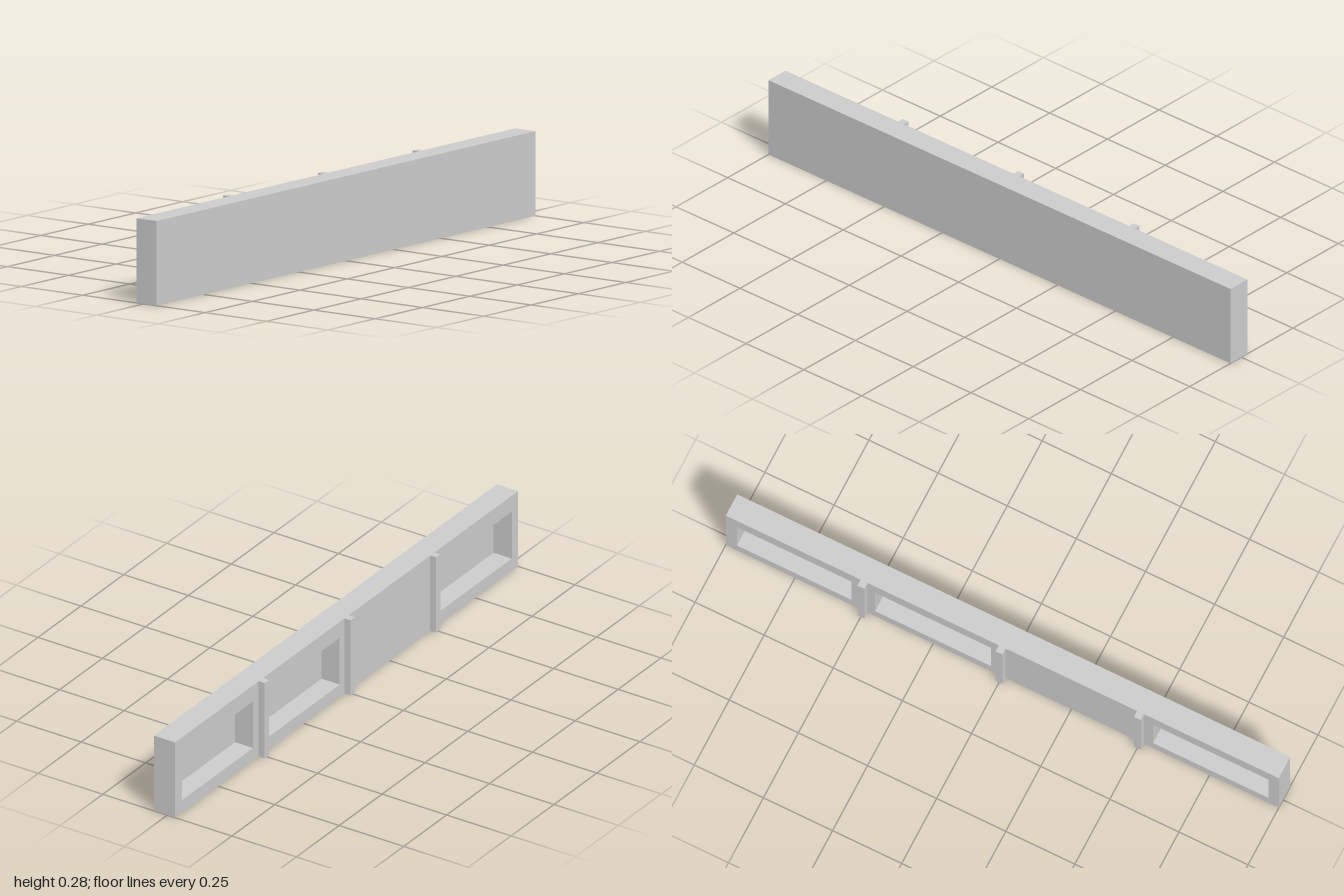
import * as THREE from 'three';

const HEIGHT = 0.278, LENGTH = 2;
const BACK_X = -0.03, FRONT_X = 0.052, POCKET_X = 0.04, RIB_X = -0.053;

export function createModel() {
  const group = new THREE.Group();
  const material = new THREE.MeshStandardMaterial({ color: 0xcccccc, flatShading: true });

  const add = (name, geometry) => {
    const mesh = new THREE.Mesh(geometry, material);
    mesh.name = name;
    group.add(mesh);
    return mesh;
  };

  // Rectangle outline in the (z, y) plane
  const rect = (path, z0, y0, z1, y1) =>
    path.moveTo(z0, y0).lineTo(z1, y0).lineTo(z1, y1).lineTo(z0, y1).closePath();

  // Beam body, open at the three pockets; the bay from z = 0 to 0.5 stays solid
  const outline = rect(new THREE.Shape(), -LENGTH / 2, 0, LENGTH / 2, HEIGHT);
  for (const [z0, z1] of [[-0.96, -0.545], [-0.46, -0.04], [0.545, 0.963]]) {
    outline.holes.push(rect(new THREE.Path(), z0, 0.046, z1, 0.219));
  }
  const body = new THREE.ExtrudeGeometry(outline, { depth: POCKET_X - BACK_X, bevelEnabled: false });
  body.rotateY(-Math.PI / 2).translate(POCKET_X, 0, 0);
  add('pocketedBody', body);

  // Thin plain plate closing the pockets
  const skin = FRONT_X - POCKET_X;
  add('facePlate', new THREE.BoxGeometry(skin, HEIGHT, LENGTH))
    .position.set(POCKET_X + skin / 2, HEIGHT / 2, 0);

  // Upright ribs between the bays
  for (const z of [-0.5, 0, 0.5]) {
    add('rib', new THREE.BoxGeometry(BACK_X - RIB_X, HEIGHT, 0.025))
      .position.set((BACK_X + RIB_X) / 2, HEIGHT / 2, z);
  }

  return group;
}
